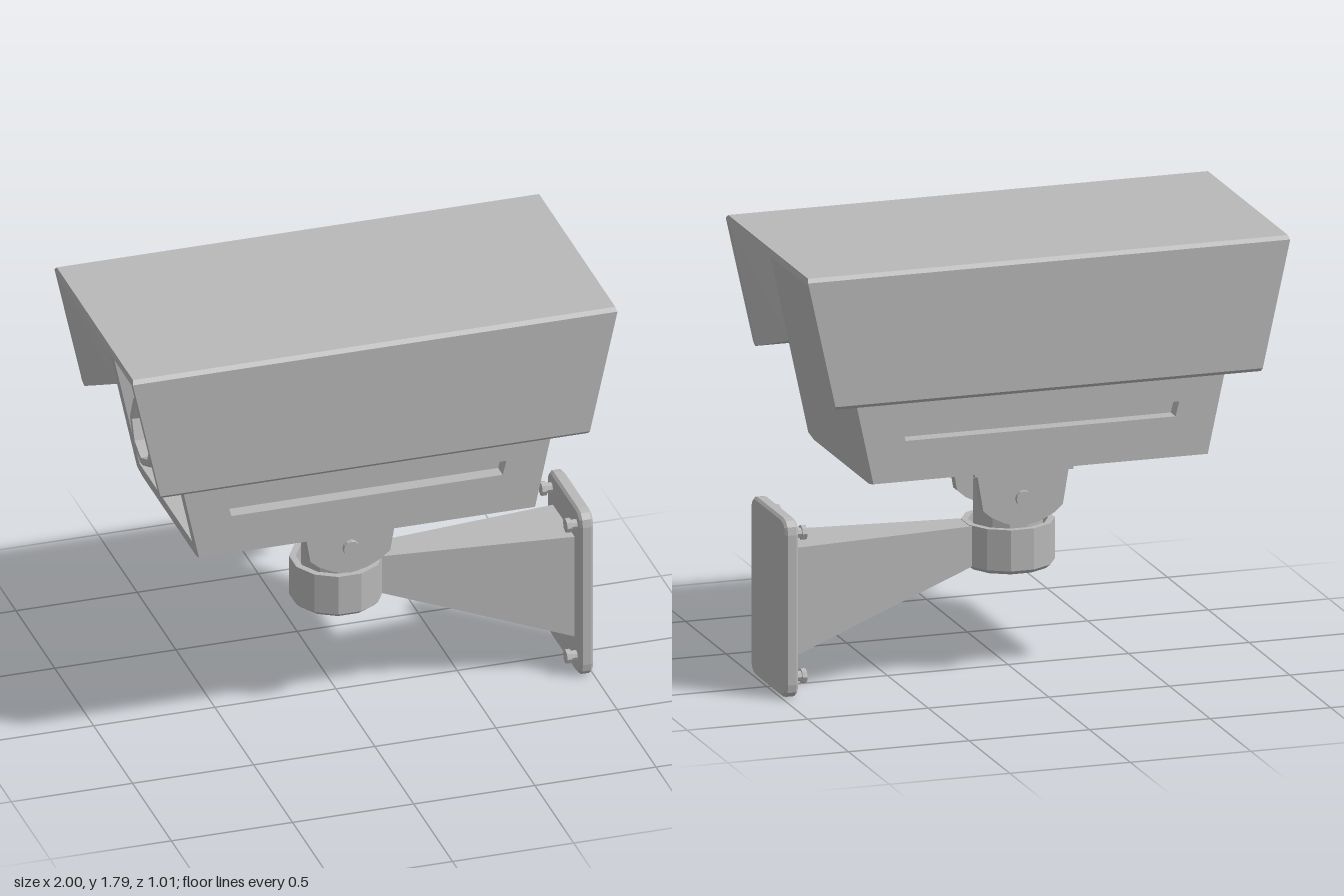
import * as THREE from 'three';

const casing = new THREE.MeshStandardMaterial({ color: 0xb8b8b8, flatShading: true, side: THREE.DoubleSide });
casing.name = 'casing grey';

const bodyX = (y) => 0.69 + 0.215 * (y - 0.89); // half length of the body at a height
const hoodX = (y) => (y > 1.79 ? 0.995 : 0.885 + 0.221 * (y - 1.26));

function add(parent, name, geometry, x = 0, y = 0, z = 0) {
  const mesh = new THREE.Mesh(geometry, casing);
  mesh.name = name;
  mesh.position.set(x, y, z);
  parent.add(mesh);
  return mesh;
}

const toPoints = (list) => list.map(([x, y]) => new THREE.Vector2(x, y));

// Outline in x and y, extruded from z0 to z1
function slab(outline, z0, z1, hole) {
  const shape = new THREE.Shape(toPoints(outline));
  if (hole) shape.holes.push(new THREE.Path(toPoints(hole)));
  const g = new THREE.ExtrudeGeometry(shape, { depth: z1 - z0, bevelEnabled: false });
  return g.translate(0, 0, z0);
}

function lathe(profile, sides) {
  return new THREE.LatheGeometry(toPoints(profile), sides);
}

// Sun hood: U-shaped sections joined lengthwise, with funnel ends sloping in to the body
function hoodGeometry() {
  const mirror = (half) => [...half, ...half.slice().reverse().map(([z, y]) => [-z, y])];
  const outer = mirror([[0.49, 1.25], [0.505, 1.265], [0.505, 1.78], [0.49, 1.795]]);
  const rim = mirror([[0.475, 1.255], [0.475, 1.255], [0.475, 1.765], [0.475, 1.765]]);
  const inner = mirror([[0.4, 1.285], [0.4, 1.285], [0.4, 1.68], [0.4, 1.68]]);
  const ring = (section, side, f) => section.map(([z, y]) => [side * f(y), y, z]);
  const rings = [
    ring(inner, -1, bodyX), ring(rim, -1, hoodX), ring(outer, -1, hoodX),
    ring(outer, 1, hoodX), ring(rim, 1, hoodX), ring(inner, 1, bodyX),
  ];
  const pos = [];
  const quad = (a, b, c, d) => pos.push(...a, ...b, ...c, ...b, ...d, ...c);
  for (let r = 0; r < 5; r++) {
    for (let j = 0; j < 7; j++) quad(rings[r][j], rings[r + 1][j], rings[r][j + 1], rings[r + 1][j + 1]);
  }
  // undersides of the two side flaps
  for (let r = 0; r < 2; r++) {
    const [a, b, c, d] = [rings[r], rings[5 - r], rings[r + 1], rings[4 - r]];
    quad(a[0], b[0], c[0], d[0]);
    quad(b[7], a[7], d[7], c[7]);
  }
  const g = new THREE.BufferGeometry();
  g.setAttribute('position', new THREE.Float32BufferAttribute(pos, 3));
  g.computeVertexNormals();
  return g;
}

// Body side wall with a slot; its lower outer edge is chamfered
function sideWall(side) {
  const lo = 0.89, hi = 1.68;
  const g = slab(
    [[-bodyX(lo), lo], [bodyX(lo), lo], [bodyX(hi), hi], [-bodyX(hi), hi]],
    side > 0 ? 0.34 : -0.4, side > 0 ? 0.4 : -0.34,
    [[-0.56, 1.07], [-0.575, 1.13], [0.575, 1.13], [0.56, 1.07]]);
  const p = g.attributes.position;
  for (let i = 0; i < p.count; i++) {
    if (p.getY(i) < lo + 0.001 && Math.abs(p.getZ(i)) > 0.39) {
      p.setY(i, lo + 0.015);
      p.setX(i, Math.sign(p.getX(i)) * bodyX(lo + 0.015));
    }
  }
  g.computeVertexNormals();
  return g;
}

// Wall bracket arm: widens and deepens from the collar to the wall plate
function armGeometry() {
  const g = new THREE.BoxGeometry(1, 1, 1);
  const p = g.attributes.position;
  for (let i = 0; i < p.count; i++) {
    const far = p.getX(i) > 0;
    const top = p.getY(i) > 0;
    p.setXYZ(i, far ? 0.945 : 0.15, top ? 0.597 : far ? 0.15 : 0.44,
      Math.sign(p.getZ(i)) * (far ? 0.14 : 0.06));
  }
  g.computeVertexNormals();
  return g;
}

// Wall plate: rounded rectangle with a small bevel
function plateGeometry() {
  const w = 0.205, h = 0.355, r = 0.05;
  const s = new THREE.Shape();
  s.moveTo(-w + r, -h);
  s.lineTo(w - r, -h);
  s.quadraticCurveTo(w, -h, w, -h + r);
  s.lineTo(w, h - r);
  s.quadraticCurveTo(w, h, w - r, h);
  s.lineTo(-w + r, h);
  s.quadraticCurveTo(-w, h, -w, h - r);
  s.lineTo(-w, -h + r);
  s.quadraticCurveTo(-w, -h, -w + r, -h);
  const g = new THREE.ExtrudeGeometry(s, {
    depth: 0.035, curveSegments: 3, bevelThickness: 0.01, bevelSize: 0.01, bevelSegments: 1,
  });
  return g.rotateY(Math.PI / 2);
}

export function createModel() {
  const model = new THREE.Group();
  model.name = 'securityCamera';

  // Camera head
  const head = new THREE.Group();
  head.name = 'cameraHead';
  model.add(head);
  add(head, 'sunHood', hoodGeometry());
  const wallX = (y) => -bodyX(y) + 0.12;
  add(head, 'bodyCore', slab([
    [-bodyX(0.89), 0.89], [bodyX(0.89), 0.89], [bodyX(1.68), 1.68], [-bodyX(1.68), 1.68],
    [-bodyX(1.62), 1.62], [wallX(1.62), 1.62], [wallX(0.95), 0.95], [-bodyX(0.95), 0.95],
  ], -0.34, 0.34));
  for (const side of [1, -1]) add(head, side > 0 ? 'frontSideWall' : 'backSideWall', sideWall(side));

  // Hollow lens barrel pointing to -x
  const lens = add(head, 'lensBarrel',
    lathe([[0.15, 0], [0.15, 0.235], [0.14, 0.245], [0.115, 0.245], [0.105, 0.12], [0, 0.12]], 8), -0.56, 1.28, 0);
  lens.rotation.z = Math.PI / 2;

  // Tilt joint
  const joint = new THREE.Group();
  joint.name = 'tiltJoint';
  model.add(joint);
  add(joint, 'jointPlate', new THREE.BoxGeometry(0.41, 0.055, 0.4), 0, 0.8625, 0);
  const ear = [[-0.19, 0.84], [-0.165, 0.69], [-0.13, 0.66], [-0.07, 0.63], [0, 0.615],
    [0.07, 0.63], [0.13, 0.66], [0.165, 0.69], [0.19, 0.84]];
  for (const side of [1, -1]) {
    add(joint, 'jointEar', slab(ear, side > 0 ? 0.137 : -0.185, side > 0 ? 0.185 : -0.137));
    const pin = add(joint, 'pivotPin', new THREE.CylinderGeometry(0.033, 0.033, 0.05, 12), 0, 0.73, side * 0.18);
    pin.rotation.x = Math.PI / 2;
  }

  // Swivel post inside a cupped collar
  const turn = Math.PI / 12;
  add(joint, 'swivelPost', lathe([[0.137, 0.48], [0.137, 0.765], [0.115, 0.788], [0, 0.788]], 12)).rotation.y = turn;
  add(joint, 'collar', lathe([[0, 0.415], [0.165, 0.415], [0.185, 0.432], [0.185, 0.6],
    [0.158, 0.6], [0.158, 0.5], [0, 0.5]], 12)).rotation.y = turn;

  // Wall bracket
  const bracket = new THREE.Group();
  bracket.name = 'wallBracket';
  model.add(bracket);
  add(bracket, 'bracketArm', armGeometry());
  add(bracket, 'wallPlate', plateGeometry(), 0.95, 0.366, 0);
  for (const y of [0.08, 0.665]) {
    for (const z of [-0.16, 0.16]) {
      const bolt = add(bracket, 'plateBolt',
        lathe([[0.021, 0], [0.021, 0.03], [0.03, 0.03], [0.03, 0.05], [0, 0.05]], 8), 0.945, y, z);
      bolt.rotation.z = Math.PI / 2;
    }
  }
  return model;
}
